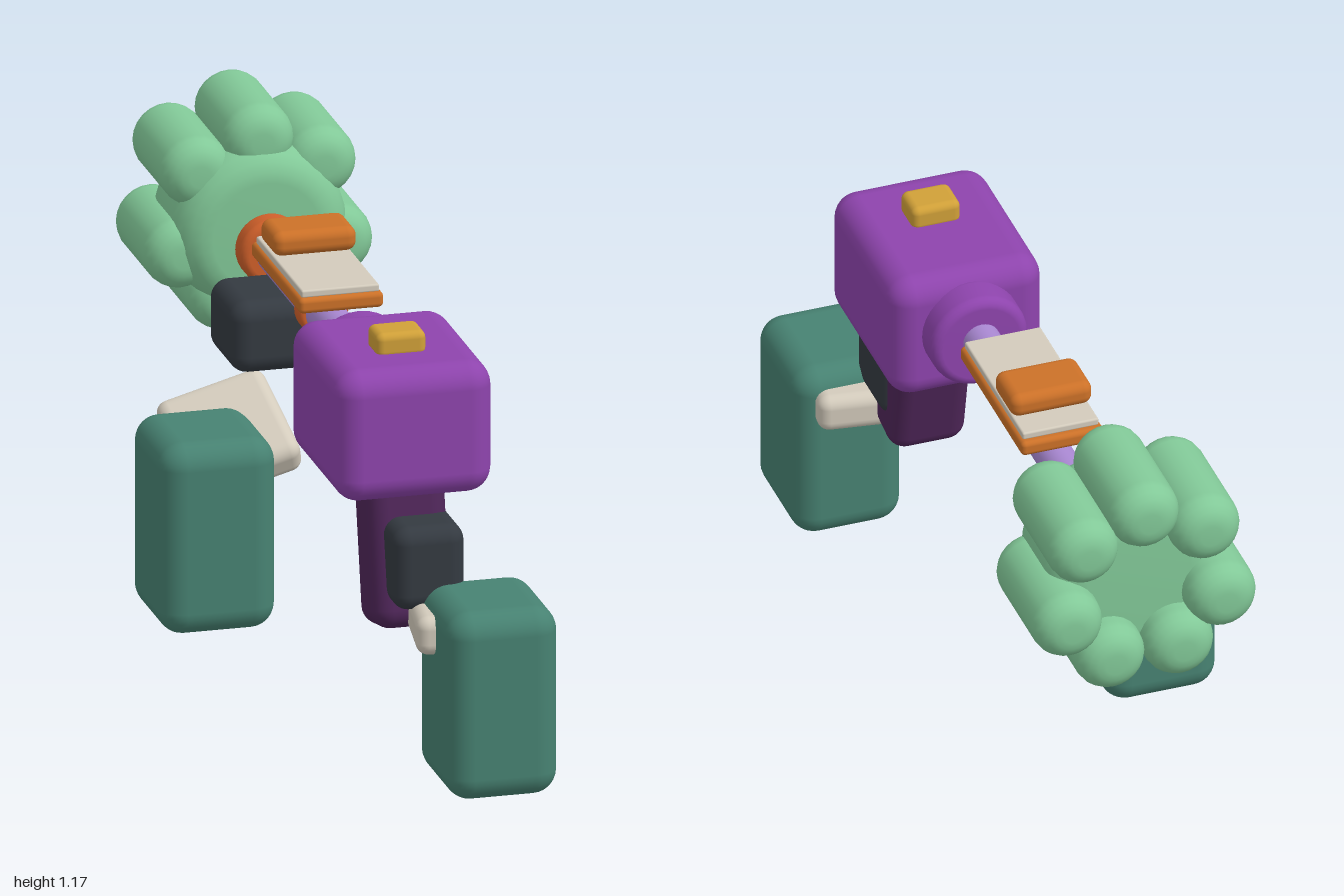
import * as THREE from 'three';
import { RoundedBoxGeometry } from 'three/addons/geometries/RoundedBoxGeometry.js';

const mat = (name, color) => {
  const m = new THREE.MeshStandardMaterial({ color });
  m.name = name;
  return m;
};

export function createModel() {
  const group = new THREE.Group();
  const purple = mat('purple', 0x8e44ad), plum = mat('plum', 0x4f2659);
  const lavender = mat('lavender', 0xa988d2), orange = mat('orange', 0xcc7128);
  const rust = mat('rust', 0xd0602a), leaf = mat('leaf green', 0x82c998);
  const teal = mat('teal', 0x478272), charcoal = mat('charcoal', 0x343a41);
  const cream = mat('cream', 0xd3cbbc), gold = mat('gold', 0xd0a038);
  const axisX = 0.065, axisY = 0.845;

  const add = (name, geometry, material, x, y, z) => {
    const mesh = new THREE.Mesh(geometry, material);
    mesh.name = name;
    mesh.position.set(x, y, z);
    group.add(mesh);
    return mesh;
  };

  // Soft-edged box given by its extents on each axis
  const box = (name, material, [x0, x1], [y0, y1], [z0, z1], r) =>
    add(name, new RoundedBoxGeometry(x1 - x0, y1 - y0, z1 - z0, 4, r), material,
      (x0 + x1) / 2, (y0 + y1) / 2, (z0 + z1) / 2);

  // Soft-edged cylinder lying along z
  const roller = (name, material, radius, z0, z1, r, x = axisX, y = axisY, sides = 32) => {
    const h = (z1 - z0) / 2, pts = [new THREE.Vector2(0, -h)];
    for (const end of [-1, 1]) {
      for (let i = 0; i <= 5; i++) {
        const a = (end < 0 ? i - 5 : i) / 5 * Math.PI / 2;
        pts.push(new THREE.Vector2(radius - r + r * Math.cos(a), end * (h - r) + r * Math.sin(a)));
      }
    }
    pts.push(new THREE.Vector2(0, h));
    const g = new THREE.LatheGeometry(pts, sides);
    g.rotateX(Math.PI / 2);
    return add(name, g, material, x, y, (z0 + z1) / 2);
  };

  // Front housing with its button and rear collar
  box('housing', purple, [-0.123, 0.255], [0.655, 0.978], [0.25, 0.71], 0.06);
  box('button', gold, [0.005, 0.125], [0.965, 1.027], [0.48, 0.575], 0.018);
  roller('collar', purple, 0.12, 0.175, 0.28, 0.025, axisX, 0.835);

  // Shaft and rings
  roller('shaft', lavender, 0.045, -0.66, 0.22, 0.005);
  roller('middleRing', rust, 0.06, -0.172, -0.112, 0.012);
  roller('rearRing', rust, 0.082, -0.62, -0.548, 0.02);

  // Bushy head: a round core with seven bristle rolls around it
  roller('headCore', leaf, 0.21, -0.92, -0.622, 0.08, axisX, 0.865);
  const rolls = [[0, 1.08], [0.15, 1.012], [0.19, 0.815], [0.085, 0.703]];
  for (const [dx, y] of rolls) {
    for (const side of dx ? [-1, 1] : [1]) {
      roller('headRoll', leaf, 0.086, -1, -0.652, 0.06, axisX + side * dx, y, 24);
    }
  }

  // Top tray with pad
  box('tray', orange, [-0.037, 0.167], [0.902, 0.94], [-0.392, 0.042], 0.012);
  box('trayLiner', cream, [-0.029, 0.159], [0.938, 0.957], [-0.375, 0.03], 0.005);
  box('trayPad', orange, [-0.035, 0.167], [0.962, 1.022], [-0.325, -0.19], 0.024);

  // Front leg: slanted grip, knuckle, foot link and foot
  const grip = box('grip', plum, [-0.03, 0.16], [0.32, 0.74], [0.49, 0.66], 0.045);
  grip.rotation.x = -0.2;
  box('frontKnuckle', charcoal, [0, 0.173], [0.398, 0.602], [0.55, 0.755], 0.04);
  const frontLink = box('frontLink', cream, [0.04, 0.28], [0.325, 0.42], [0.63, 0.88], 0.03);
  frontLink.rotation.y = -0.15;
  box('frontFoot', teal, [0.067, 0.335], [0, 0.462], [0.69, 1], 0.06);

  // Rear leg: knuckle, slanted link and foot
  box('rearKnuckle', charcoal, [-0.105, 0.105], [0.638, 0.815], [-0.535, -0.298], 0.045);
  const rearLink = box('rearLink', cream, [-0.255, 0.015], [0.46, 0.55], [-0.42, -0.14], 0.03);
  rearLink.rotation.set(0.52, 0, 0.27, 'ZYX');
  box('rearFoot', teal, [-0.345, -0.065], [0.1, 0.57], [-0.34, -0.032], 0.06);

  return group;
}
